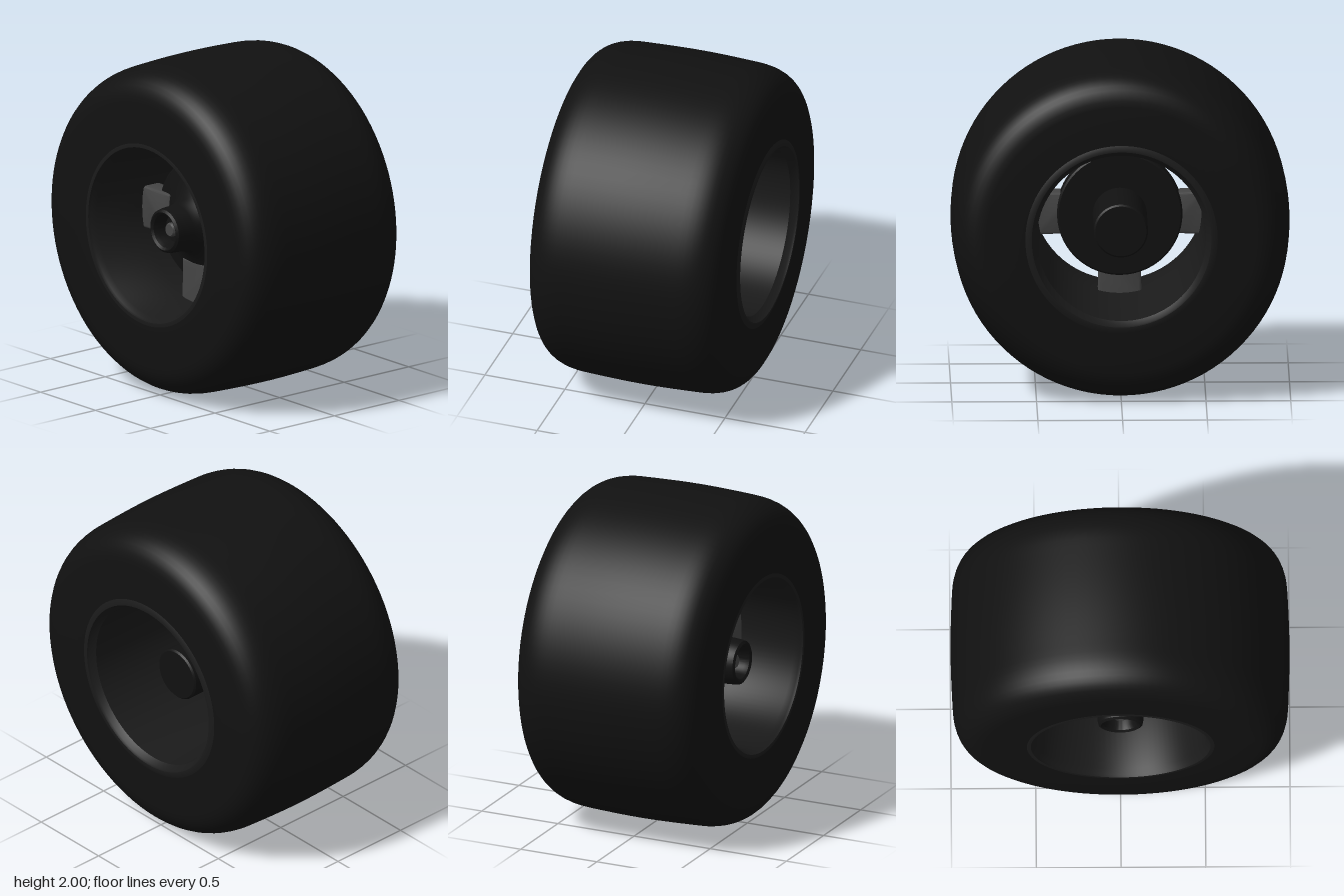
import * as THREE from 'three';
import { toCreasedNormals } from 'three/addons/utils/BufferGeometryUtils.js';

const V = (r, x) => new THREE.Vector2(r, x);
const material = (color) => new THREE.MeshStandardMaterial({ color });

// Revolves [radius, x] points around the axle (x axis)
function revolve(name, points, mat, segments = 80) {
  const lathe = new THREE.LatheGeometry(points, segments);
  lathe.rotateZ(-Math.PI / 2);
  const mesh = new THREE.Mesh(toCreasedNormals(lathe, 0.6), mat);
  mesh.name = name;
  return mesh;
}
const profile = (list) => list.map(([r, x]) => V(r, x));

export function createModel() {
  const model = new THREE.Group();
  model.name = 'wheel';
  const wheel = new THREE.Group();
  wheel.name = 'wheelAssembly';
  wheel.position.y = 1;
  model.add(wheel);

  const rubber = material(0x111111);
  const rimBlack = material(0x1a1a1a);
  const hubBlack = material(0x111111);
  const spokeGrey = material(0x444444);

  // Tyre: flat sidewalls, rounded shoulders and a slightly crowned tread
  const path = new THREE.Path();
  path.moveTo(0.55, -0.605);
  path.lineTo(0.8, -0.605);
  path.bezierCurveTo(0.93, -0.6, 0.985, -0.5, 0.99, -0.36);
  path.bezierCurveTo(0.997, -0.2, 1, -0.1, 1, 0);
  path.bezierCurveTo(1, 0.1, 0.997, 0.2, 0.99, 0.35);
  path.bezierCurveTo(0.985, 0.49, 0.93, 0.59, 0.8, 0.595);
  path.lineTo(0.55, 0.595);
  wheel.add(revolve('tyre', path.getPoints(10), rubber, 96));

  // Rim: thin barrel with a raised lip at both ends, narrowing inside
  wheel.add(revolve('rim', profile([
    [0.57, -0.59], [0.57, -0.6], [0.55, -0.606], [0.53, -0.606], [0.525, -0.59],
    [0.505, -0.56], [0.485, -0.2], [0.482, -0.1], [0.5, 0.56], [0.525, 0.59],
    [0.53, 0.605], [0.545, 0.605], [0.57, 0.594], [0.57, 0.58], [0.57, -0.59],
  ].reverse()), rimBlack, 96));

  // Hub: socket nose, flared body, round disc and a long axle cap
  wheel.add(revolve('hub', profile([
    [0, -0.38], [0.085, -0.38], [0.09, -0.44], [0.1, -0.465], [0.115, -0.475],
    [0.13, -0.465], [0.135, -0.44], [0.14, -0.36], [0.16, -0.29], [0.21, -0.235],
    [0.29, -0.21], [0.36, -0.2], [0.37, -0.19], [0.37, -0.09], [0.36, -0.08],
    [0.16, -0.08], [0.16, 0.365], [0.15, 0.375], [0, 0.375],
  ]), hubBlack));

  // Axle end inside the socket
  wheel.add(revolve('axleEnd', profile([
    [0, -0.43], [0.035, -0.43], [0.042, -0.42], [0.042, -0.37],
  ]), spokeGrey, 32));

  // Four short, slightly flared spokes between the disc and the rim
  const shape = new THREE.Shape();
  shape.moveTo(-0.11, 0.25);
  shape.lineTo(0.11, 0.25);
  shape.quadraticCurveTo(0.112, 0.4, 0.115, 0.495);
  shape.lineTo(-0.115, 0.495);
  shape.quadraticCurveTo(-0.112, 0.4, -0.11, 0.25);
  const bar = new THREE.ExtrudeGeometry(shape, {
    depth: 0.09, bevelEnabled: true, bevelThickness: 0.015, bevelSize: 0.014, bevelSegments: 3, curveSegments: 6,
  });
  bar.translate(0, 0, -0.21);
  bar.rotateY(Math.PI / 2);
  const spokeGeometry = toCreasedNormals(bar, 0.6);
  for (let i = 0; i < 4; i++) {
    const spoke = new THREE.Mesh(spokeGeometry, spokeGrey);
    spoke.name = 'spoke' + (i + 1);
    spoke.rotation.x = (i * Math.PI) / 2;
    wheel.add(spoke);
  }

  return model;
}
